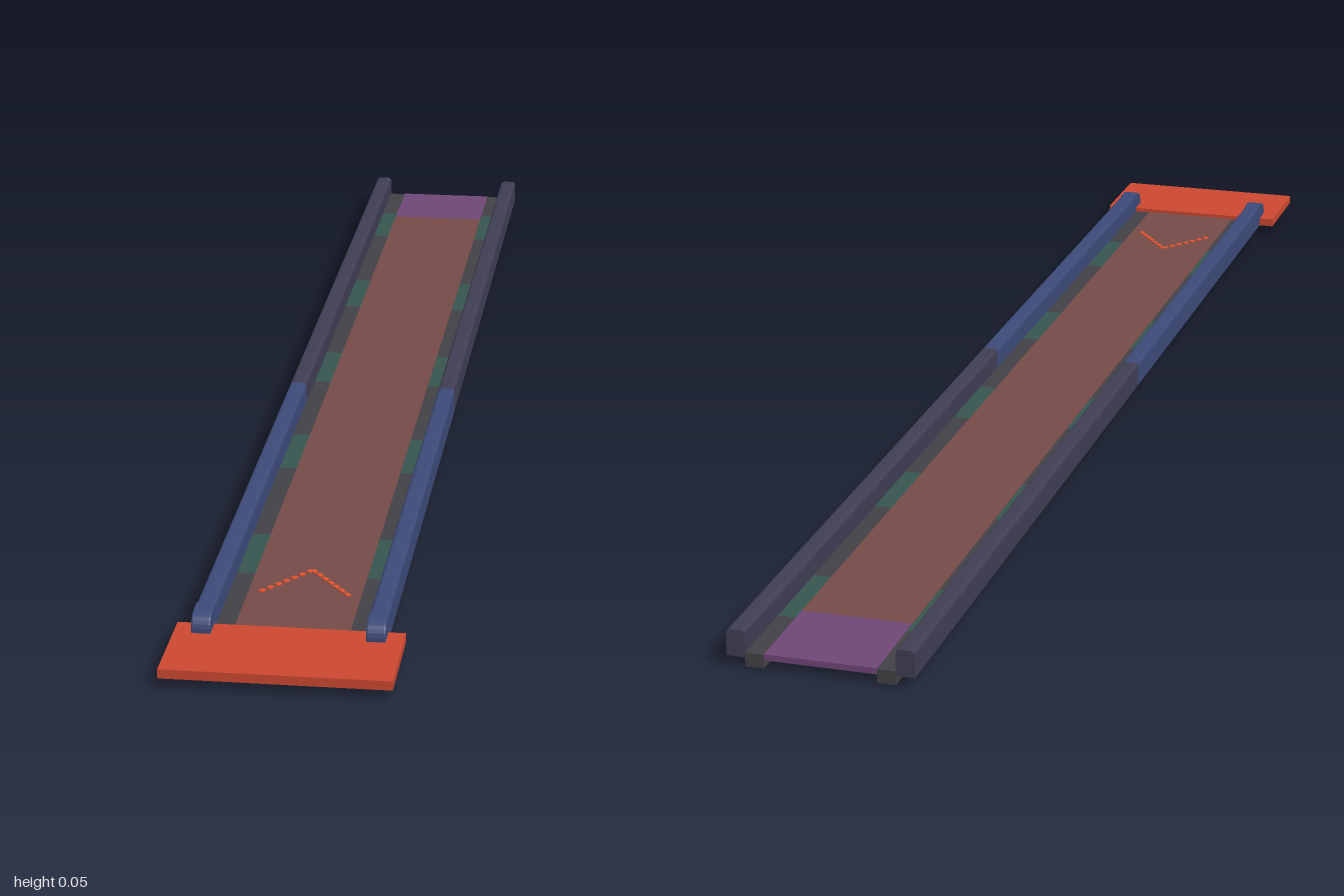
import * as THREE from 'three';

const mat = (name, color) => {
  const m = new THREE.MeshStandardMaterial({ color });
  m.name = name;
  return m;
};

export function createModel() {
  const model = new THREE.Group();
  model.name = 'launchTrack';
  const M = {
    red: mat('red', 0xcb4730), blue: mat('blue', 0x3c4a78), slate: mat('slate', 0x3f3e54),
    brown: mat('brown', 0x754b49), purple: mat('purple', 0x704777),
    grey: mat('dark grey', 0x424246), teal: mat('teal', 0x36564f), orange: mat('orange', 0xe2542f),
  };
  const add = (name, geo, material) => {
    const mesh = new THREE.Mesh(geo, material);
    mesh.name = name;
    model.add(mesh);
    return mesh;
  };
  // box given by its limits on each axis
  const box = (name, material, x0, x1, y0, y1, z0, z1) => {
    const b = add(name, new THREE.BoxGeometry(x1 - x0, y1 - y0, z1 - z0), material);
    b.position.set((x0 + x1) / 2, (y0 + y1) / 2, (z0 + z1) / 2);
    return b;
  };

  // front plate and deck
  box('frontPlate', M.red, -0.142, 0.142, 0.012, 0.024, 0.86, 1);
  box('deck', M.brown, -0.072, 0.072, 0.011, 0.019, -0.865, 0.86);
  box('rearDeck', M.purple, -0.072, 0.072, 0.011, 0.019, -1, -0.865);

  // rail cross-section with rounded top corners
  const w = 0.012, r = 0.006, y0 = 0.012, y1 = 0.047;
  const section = new THREE.Shape();
  section.moveTo(-w, y0);
  section.lineTo(w, y0);
  section.lineTo(w, y1 - r);
  section.quadraticCurveTo(w, y1, w - r, y1);
  section.lineTo(-w + r, y1);
  section.quadraticCurveTo(-w, y1, -w, y1 - r);
  section.closePath();
  const rail = (z0, z1) => new THREE.ExtrudeGeometry(section, { depth: z1 - z0, bevelEnabled: false, curveSegments: 4 }).translate(0, 0, z0);

  // rail nose: side outline with a curved top front
  const nose = new THREE.Shape();
  nose.moveTo(0.85, y0);
  nose.lineTo(0.865, y0);
  nose.lineTo(0.89, 0.024);
  nose.lineTo(0.89, 0.03);
  nose.quadraticCurveTo(0.888, 0.046, 0.866, 0.046);
  nose.lineTo(0.85, 0.046);
  nose.closePath();
  const noseGeo = new THREE.ExtrudeGeometry(nose, { depth: 2 * w - 0.004, bevelEnabled: true, bevelSize: 0.001, bevelThickness: 0.002, bevelSegments: 2, curveSegments: 6 })
    .translate(0, 0, -w + 0.002).rotateY(-Math.PI / 2);

  for (const [side, s] of [['left', 1], ['right', -1]]) {
    add(side + 'FrontRail', rail(0.05, 0.86), M.blue).position.x = s * 0.108;
    add(side + 'RearRail', rail(-1, 0.05), M.slate).position.x = s * 0.108;
    add(side + 'RailNose', noseGeo, M.blue).position.x = s * 0.108;

    // runner below the rail, broken up by teal lengths
    const runner = (name, m, z0, z1) => box(side + name, m, Math.min(s * 0.072, s * 0.096), Math.max(s * 0.072, s * 0.096), 0, 0.018, z0, z1);
    let z = -1;
    for (const c of [-0.82, -0.45, -0.1, 0.25, 0.62]) {
      runner('Runner', M.grey, z, c - 0.065);
      runner('RunnerInset', M.teal, c - 0.065, c + 0.065);
      z = c + 0.065;
    }
    runner('Runner', M.grey, z, 0.86);

    // dashed arrow on the deck
    for (let i = 0; i < 7; i++) {
      const t = (i + 0.35) / 7;
      const dash = add('arrowDash', new THREE.BoxGeometry(0.006, 0.002, 0.009), M.orange);
      dash.position.set(s * 0.06 * t, 0.0197, 0.67 + 0.08 * t);
      dash.rotation.y = s * 0.64;
    }
  }
  return model;
}
